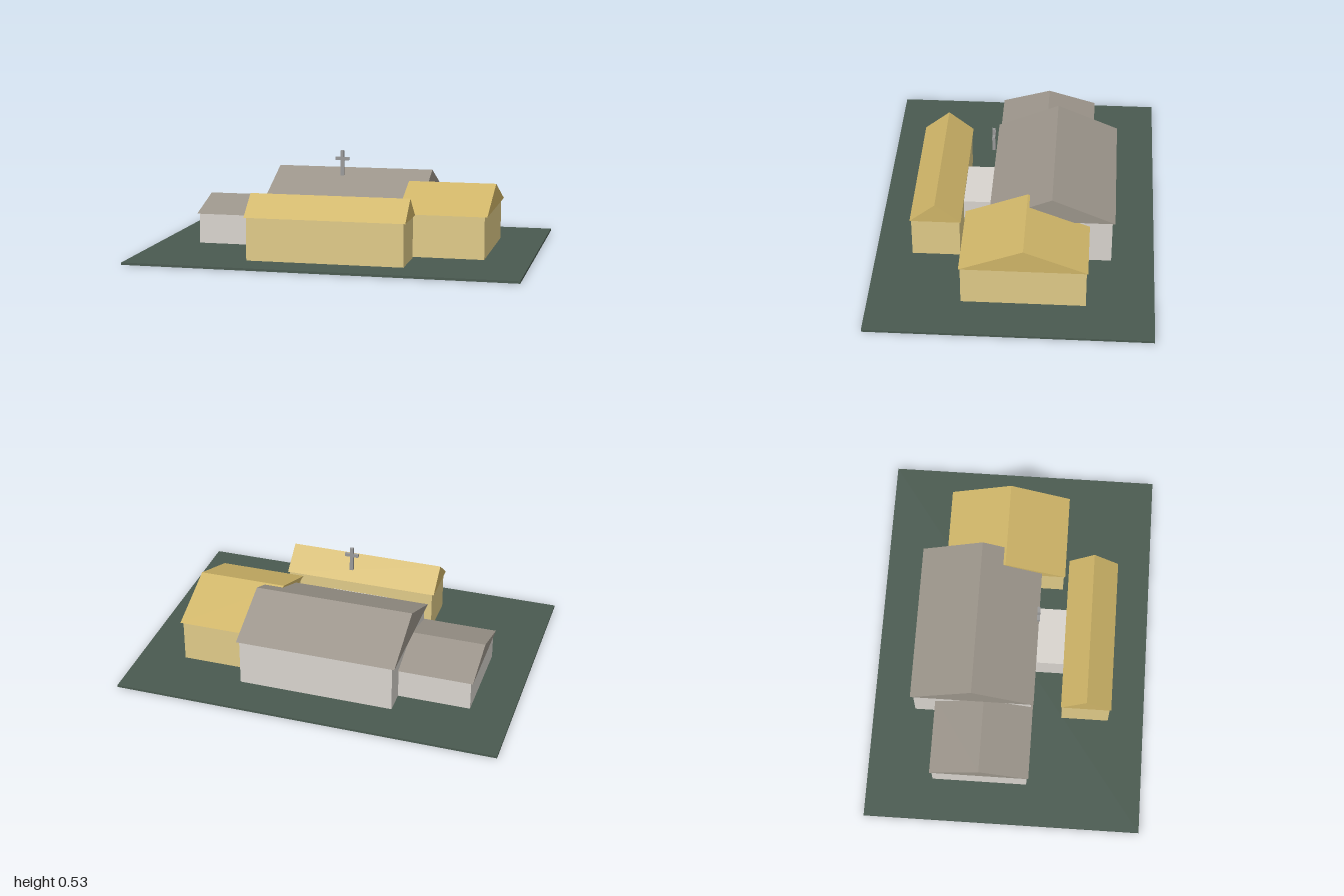
import * as THREE from 'three';

const material = (color) => new THREE.MeshStandardMaterial({ color, flatShading: true });

export function createModel() {
  const model = new THREE.Group();
  const creamWall = material(0xdfca88), creamRoof = material(0xcfb568);
  const greyWall = material(0xd8d4ce), greyRoof = material(0x9b948a);
  const lawn = material(0x4a5a50), metal = material(0x999999);

  // Box given by its lower and upper limits on each axis
  function box(name, mat, [x0, x1], [y0, y1], [z0, z1], parent = model) {
    const mesh = new THREE.Mesh(new THREE.BoxGeometry(x1 - x0, y1 - y0, z1 - z0), mat);
    mesh.position.set((x0 + x1) / 2, (y0 + y1) / 2, (z0 + z1) / 2);
    mesh.name = name;
    parent.add(mesh);
  }

  // Solid gable roof with its ridge along x
  function gable(name, mat, [x0, x1], [eave, ridge], zMid, half, parent) {
    const shape = new THREE.Shape();
    shape.moveTo(-half, eave);
    shape.lineTo(half, eave);
    shape.lineTo(0, ridge);
    shape.closePath();
    const geo = new THREE.ExtrudeGeometry(shape, { depth: x1 - x0, bevelEnabled: false });
    geo.rotateY(Math.PI / 2);
    const mesh = new THREE.Mesh(geo, mat);
    mesh.position.set(x0, 0, zMid);
    mesh.name = name;
    parent.add(mesh);
  }

  // Walls plus an overhanging gable roof
  function building({ name, wall, roof, x, roofX, heights, z, half, roofHalf }) {
    const group = new THREE.Group();
    group.name = name;
    box(name + 'Walls', wall, x, [0.012, heights[0]], [z - half, z + half], group);
    gable(name + 'Roof', roof, roofX, heights, z, roofHalf, group);
    model.add(group);
  }

  box('ground', lawn, [-1, 1], [0, 0.012], [-0.718, 0.718]);

  const grey = { wall: greyWall, roof: greyRoof };
  const cream = { wall: creamWall, roof: creamRoof };
  building({ name: 'mainHall', ...grey, x: [-0.405, 0.405], roofX: [-0.42, 0.417],
    heights: [0.262, 0.4], z: -0.19, half: 0.308, roofHalf: 0.322 });
  building({ name: 'rightWing', ...grey, x: [-0.782, -0.4], roofX: [-0.793, -0.39],
    heights: [0.17, 0.245], z: -0.128, half: 0.247, roofHalf: 0.257 });
  building({ name: 'leftWing', ...cream, x: [0.33, 0.762], roofX: [0.315, 0.776],
    heights: [0.231, 0.355], z: -0.063, half: 0.313, roofHalf: 0.32 });
  building({ name: 'frontWing', ...cream, x: [-0.404, 0.401], roofX: [-0.415, 0.411],
    heights: [0.231, 0.337], z: 0.406, half: 0.124, roofHalf: 0.131 });

  // Flat-roofed passage joining the hall and front wing
  box('passage', greyWall, [-0.155, 0.152], [0.012, 0.167], [0.11, 0.29]);

  // Cross
  const cross = new THREE.Group();
  cross.name = 'cross';
  box('crossPost', metal, [-0.009, 0.009], [0.402, 0.532], [0.123, 0.138], cross);
  box('crossArm', metal, [-0.036, 0.036], [0.482, 0.498], [0.123, 0.138], cross);
  model.add(cross);

  return model;
}
